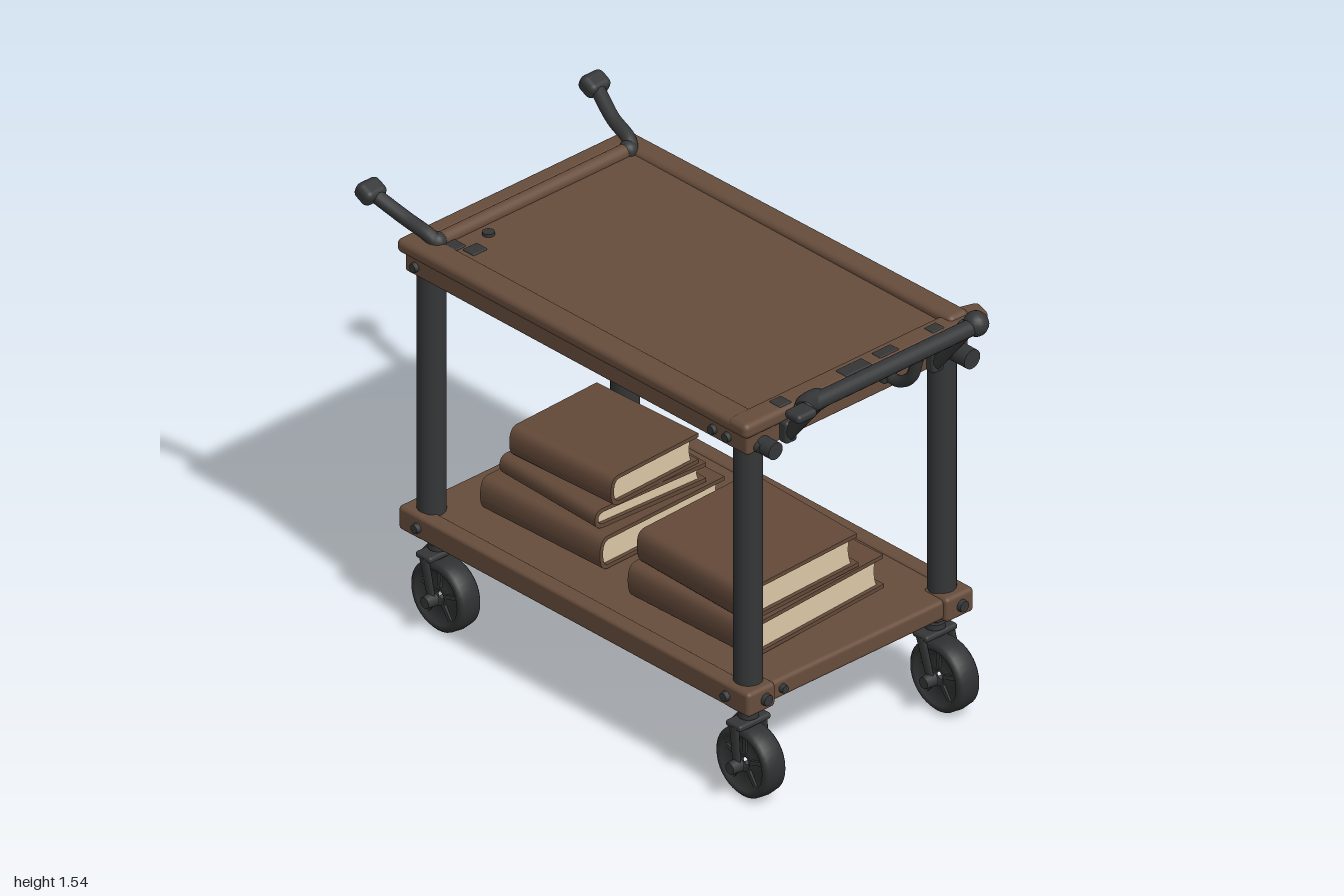
import * as THREE from 'three';
import { RoundedBoxGeometry } from 'three/addons/geometries/RoundedBoxGeometry.js';

const V = (x, y, z) => new THREE.Vector3(x, y, z);

export function createModel() {
  const root = new THREE.Group();
  const mat = (name, color) => {
    const m = new THREE.MeshStandardMaterial({ color });
    m.name = name;
    return m;
  };
  const wood = mat('brown wood', 0x674d3c);
  const cover = mat('book cover brown', 0x634939);
  const metal = mat('dark metal', 0x353637);
  const rubber = mat('wheel rubber', 0x2f3031);
  const paper = mat('cream paper', 0xdcc7a6);

  const add = (parent, name, geo, m) => {
    const mesh = new THREE.Mesh(geo, m);
    mesh.name = name;
    parent.add(mesh);
    return mesh;
  };
  // Rounded box given by its extents
  const slab = (parent, name, [x0, x1], [y0, y1], [z0, z1], r, m) => {
    const mesh = add(parent, name, new RoundedBoxGeometry(x1 - x0, y1 - y0, z1 - z0, 3, r), m);
    mesh.position.set((x0 + x1) / 2, (y0 + y1) / 2, (z0 + z1) / 2);
    return mesh;
  };
  // Straight round bar between two points
  const rod = (parent, name, a, b, r, m, r2 = r, sides = 20) => {
    const d = b.clone().sub(a);
    const mesh = add(parent, name, new THREE.CylinderGeometry(r2, r, d.length(), sides), m);
    mesh.position.copy(a).add(b).multiplyScalar(0.5);
    mesh.quaternion.setFromUnitVectors(V(0, 1, 0), d.normalize());
    return mesh;
  };
  const tube = (parent, name, pts, r, m) =>
    add(parent, name, new THREE.TubeGeometry(new THREE.CatmullRomCurve3(pts), 24, r, 12), m);
  const ball = (parent, name, p, r, m) =>
    add(parent, name, new THREE.SphereGeometry(r, 16, 12), m).position.copy(p);

  // Upper tray: apron, floor and raised rims
  const tray = new THREE.Group();
  tray.name = 'upperTray';
  root.add(tray);
  slab(tray, 'trayApron', [-0.81, 0.755], [1.27, 1.35], [-0.455, 0.495], 0.012, wood);
  slab(tray, 'trayFloor', [-0.82, 0.76], [1.335, 1.377], [-0.46, 0.5], 0.015, wood);
  slab(tray, 'frontRim', [-0.83, 0.77], [1.338, 1.388], [0.415, 0.515], 0.02, wood);
  slab(tray, 'leftRim', [-0.83, -0.755], [1.338, 1.388], [-0.47, 0.515], 0.02, wood);
  slab(tray, 'rightRim', [0.68, 0.77], [1.338, 1.392], [-0.47, 0.515], 0.02, wood);
  slab(tray, 'backRim', [-0.82, 0.74], [1.342, 1.398], [-0.475, -0.39], 0.02, wood).rotation.z = 0.009;
  slab(tray, 'rimTip', [0.68, 0.76], [1.345, 1.392], [-0.54, -0.43], 0.02, wood).rotation.y = -0.3;
  rod(tray, 'endRail', V(-0.73, 1.385, -0.39), V(-0.73, 1.385, 0.43), 0.025, wood);

  // Lower shelf with corner blocks
  const shelf = new THREE.Group();
  shelf.name = 'lowerShelf';
  root.add(shelf);
  slab(shelf, 'shelfBoard', [-0.815, 0.755], [0.335, 0.405], [-0.455, 0.5], 0.015, wood);
  for (const z of [-0.435, 0.475])
    slab(shelf, 'shelfRail', [-0.8, 0.74], [0.33, 0.412], [z - 0.03, z + 0.03], 0.012, wood);
  for (const x of [-0.775, 0.715])
    for (const z of [-0.405, 0.445])
      slab(shelf, 'cornerBlock', [x - 0.055, x + 0.055], [0.327, 0.414], [z - 0.06, z + 0.06], 0.015, wood);

  // Four legs with collars
  for (const x of [-0.75, 0.695])
    for (const z of [-0.395, 0.435]) {
      rod(root, 'leg', V(x, 0.4, z), V(x, 1.28, z), 0.047, metal, 0.047, 28);
    }

  // Bolts on the long sides and ends
  const bolt = (x, y, z, dx, dz, r = 0.02) =>
    rod(root, 'bolt', V(x - dx * 0.02, y, z - dz * 0.02), V(x + dx * 0.014, y, z + dz * 0.014), r, metal, r * 0.75, 12);
  for (const [z, s] of [[0.495, 1], [-0.455, -1]])
    for (const x of [-0.76, 0.6, 0.665]) bolt(x, 1.305, z, 0, s);
  for (const [z, s] of [[0.507, 1], [-0.467, -1]])
    for (const x of [-0.74, 0.67]) bolt(x, 0.37, z, 0, s);
  for (const [x, s] of [[0.77, 1], [-0.83, -1]]) {
    for (const z of [-0.41, 0.43]) bolt(x, 0.37, z, s, 0, 0.025);
    bolt(x * 0.985, 1.29, 0.45, s, 0, 0.022);
  }
  bolt(0.757, 0.37, 0.345, 1, 0, 0.018);
  rod(root, 'endBolt', V(0.74, 1.31, -0.38), V(0.85, 1.31, -0.38), 0.034, metal);
  rod(root, 'endBolt', V(0.74, 1.29, 0.43), V(0.815, 1.29, 0.43), 0.03, metal);

  // Pair of grips on the left end
  for (const [z0, z1] of [[0.43, 0.495], [-0.39, -0.465]]) {
    const grip = new THREE.Group();
    grip.name = 'endGrip';
    root.add(grip);
    const zm = z0 + (z1 - z0) * 0.5;
    tube(grip, 'gripArm', [V(-0.72, 1.375, z0), V(-0.745, 1.405, z0 + (z1 - z0) * 0.25),
      V(-0.84, 1.435, zm), V(-0.96, 1.49, z1)], 0.024, metal);
    slab(grip, 'gripKnob', [-1.0, -0.928], [1.462, 1.522], [z1 - 0.045, z1 + 0.045], 0.022, metal).rotation.z = -0.45;
    ball(grip, 'gripFoot', V(-0.73, 1.385, z0), 0.032, metal);
  }

  // Push handle on the right end
  const handle = new THREE.Group();
  handle.name = 'pushHandle';
  root.add(handle);
  rod(handle, 'handleBar', V(0.925, 1.49, -0.33), V(0.925, 1.49, 0.42), 0.028, metal);
  ball(handle, 'handleEnd', V(0.925, 1.495, -0.325), 0.042, metal);
  for (const z of [-0.295, 0.335]) {
    rod(handle, 'handleArm', V(0.765, 1.285, z), V(0.915, 1.49, z), 0.02, metal, 0.03);
    slab(handle, 'armFoot', [0.75, 0.79], [1.27, 1.35], [z - 0.025, z + 0.025], 0.012, metal);
  }
  tube(handle, 'handleBrace', [V(0.77, 1.35, -0.08), V(0.83, 1.345, -0.08), V(0.89, 1.385, -0.08),
    V(0.925, 1.48, -0.08)], 0.02, metal);
  slab(handle, 'braceFoot', [0.75, 0.8], [1.325, 1.375], [-0.11, -0.05], 0.012, metal);
  tube(handle, 'handleTipArm', [V(0.905, 1.48, 0.33), V(0.925, 1.495, 0.4), V(0.965, 1.505, 0.45)], 0.036, metal);
  slab(handle, 'handleTip', [0.93, 1.0], [1.49, 1.522], [0.42, 0.505], 0.014, metal);

  // Worn fittings on the tray top
  const patch = (x, z, w, d, y) => slab(root, 'trayFitting', [x - w / 2, x + w / 2], [y, y + 0.009], [z - d / 2, z + d / 2], 0.004, metal);
  patch(0.735, 0.02, 0.05, 0.11, 1.387);
  patch(0.73, -0.12, 0.04, 0.08, 1.387);
  patch(0.73, -0.33, 0.04, 0.05, 1.387);
  patch(0.73, 0.33, 0.05, 0.05, 1.387);
  patch(-0.62, 0.37, 0.05, 0.06, 1.373);
  patch(-0.69, 0.4, 0.07, 0.05, 1.373);
  rod(root, 'trayStud', V(-0.66, 1.37, 0.275), V(-0.66, 1.388, 0.275), 0.02, metal);

  // Book: wrapped cover with a rounded spine at the front, page block showing at the right end
  function book(x0, x1, y, h, z0, z1, yaw = 0, tilt = 0) {
    const g = new THREE.Group();
    g.name = 'book';
    const L = x1 - x0, D = (z1 - z0) / 2, t = 0.014, H = h / 2;
    const c = new THREE.Shape();
    c.moveTo(-D, -H);
    c.lineTo(D - 0.035, -H);
    c.quadraticCurveTo(D, -H, D, 0);
    c.quadraticCurveTo(D, H, D - 0.035, H);
    c.lineTo(-D, H);
    c.lineTo(-D, H - t);
    c.lineTo(D - 0.04, H - t);
    c.quadraticCurveTo(D - t, H - t, D - t, 0);
    c.quadraticCurveTo(D - t, t - H, D - 0.04, t - H);
    c.lineTo(-D, t - H);
    const p = new THREE.Shape();
    p.moveTo(-D + 0.02, t - H);
    p.lineTo(D - 0.04, t - H);
    p.quadraticCurveTo(D - t, t - H, D - t, 0);
    p.quadraticCurveTo(D - t, H - t, D - 0.04, H - t);
    p.lineTo(-D + 0.02, H - t);
    p.quadraticCurveTo(-D + 0.035, 0, -D + 0.02, t - H);
    const run = (name, shape, from, to, m) => {
      const geo = new THREE.ExtrudeGeometry(shape, { depth: to - from, bevelEnabled: false, curveSegments: 8 });
      geo.rotateY(Math.PI / 2);
      geo.scale(1, 1, -1).translate(from, 0, 0);
      // restore the winding after the mirror
      const a = geo.attributes.position.array;
      for (let i = 0; i < a.length; i += 9)
        for (let k = 0; k < 3; k++) [a[i + 3 + k], a[i + 6 + k]] = [a[i + 6 + k], a[i + 3 + k]];
      geo.computeVertexNormals();
      add(g, name, geo, m);
    };
    run('bookCover', c, -L / 2, L / 2, cover);
    run('bookBlock', p, -L / 2 + 0.003, L / 2 - 0.022, cover);
    run('pageEdge', p, L / 2 - 0.022, L / 2 - 0.014, paper);
    g.position.set((x0 + x1) / 2, y + H, (z0 + z1) / 2);
    g.rotation.set(tilt, yaw, 0);
    root.add(g);
  }
  book(-0.64, -0.11, 0.41, 0.118, -0.22, 0.33, 0.03);
  book(-0.595, -0.14, 0.53, 0.07, -0.17, 0.29, -0.04);
  book(-0.58, -0.135, 0.602, 0.108, -0.13, 0.26, 0.04);
  book(0.065, 0.605, 0.418, 0.122, -0.23, 0.36, 0.02, 0.04);
  book(0.095, 0.595, 0.541, 0.122, -0.13, 0.35, -0.03, 0.06);

  // Casters: stem, fork, dished wheel, axle and brake tab
  const tyre = [[0.012, 0.02], [0.03, 0.036], [0.035, 0.022], [0.085, 0.024], [0.095, 0.042], [0.11, 0.044],
    [0.121, 0.034], [0.125, 0]].map(([r, y]) => new THREE.Vector2(r, y));
  const profile = [...tyre.map(v => new THREE.Vector2(v.x, -v.y)), ...tyre.slice(0, -1).reverse()];
  function caster(x, z, trail) {
    const g = new THREE.Group();
    g.name = 'caster';
    g.position.set(x, 0, z);
    const cy = 0.125;
    rod(g, 'casterPlate', V(0, 0.315, 0), V(0, 0.337, 0), 0.045, metal);
    rod(g, 'casterStem', V(0, 0.25, 0), V(0, 0.33, 0), 0.02, metal);
    rod(g, 'swivelRing', V(0, 0.278, 0), V(0, 0.298, 0), 0.034, metal);
    slab(g, 'forkCrown', [-0.035, 0.035], [0.252, 0.275], [-0.068, 0.068], 0.01, metal);
    for (const s of [-1, 1]) {
      rod(g, 'forkLeg', V(0, 0.262, s * 0.06), V(trail, cy, s * 0.06), 0.022, metal, 0.018, 8).scale.z = 0.45;
      rod(g, 'axleNut', V(trail, cy, s * 0.05), V(trail, cy, s * 0.092), 0.024, metal, 0.02, 10);
    }
    tube(g, 'brakeTab', [V(-0.01, 0.264, 0), V(-0.04, 0.258, 0), V(-0.065, 0.228, 0)], 0.012, metal);
    const wheel = new THREE.Group();
    wheel.name = 'wheel';
    wheel.position.set(trail, cy, 0);
    add(wheel, 'tyre', new THREE.LatheGeometry(profile, 36), rubber).rotation.x = Math.PI / 2;
    for (let i = 0; i < 5; i++) {
      const a = i * Math.PI * 0.4 + 0.3;
      const spoke = add(wheel, 'spoke', new THREE.BoxGeometry(0.07, 0.014, 0.062), metal);
      spoke.position.set(Math.cos(a) * 0.06, Math.sin(a) * 0.06, 0);
      spoke.rotation.z = a;
    }
    g.add(wheel);
    root.add(g);
  }
  caster(-0.725, 0.43, 0.035);
  caster(-0.725, -0.37, 0.035);
  caster(0.69, 0.43, 0.012);
  caster(0.69, -0.37, 0.045);

  return root;
}
